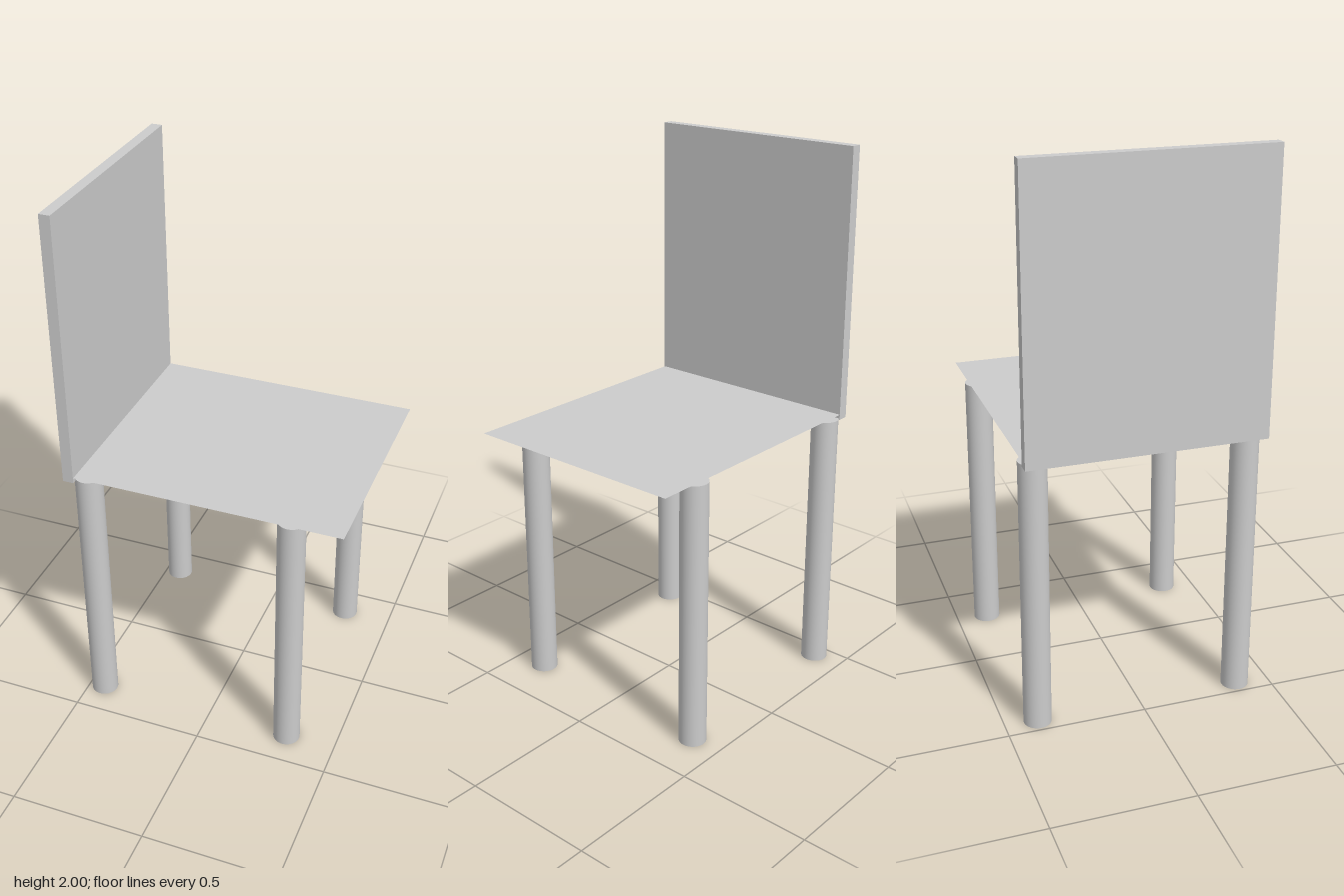
import * as THREE from 'three';

export function createModel() {
  const chair = new THREE.Group();
  chair.name = 'chair';
  const grey = new THREE.MeshStandardMaterial({ color: 0xcccccc });
  const thin = new THREE.MeshStandardMaterial({ color: 0xcccccc, side: THREE.DoubleSide });

  const add = (name, geometry, material, x, y, z) => {
    const mesh = new THREE.Mesh(geometry, material);
    mesh.name = name;
    mesh.position.set(x, y, z);
    chair.add(mesh);
  };

  // Paper-thin seat sheet, just above the leg tops
  const seat = new THREE.PlaneGeometry(1.02, 0.853).rotateX(-Math.PI / 2);
  add('seat', seat, thin, 0, 1.02, 0.002);

  // Upright slab along the -x edge of the seat
  add('backrest', new THREE.BoxGeometry(0.04, 1, 0.855), grey, -0.492, 1.5, 0.003);

  // Four round legs, set off-centre under the seat
  const leg = new THREE.CylinderGeometry(0.05, 0.05, 1.005, 32);
  for (const [xName, x] of [['back', -0.44], ['front', 0.313]]) {
    for (const [zName, z] of [['Right', 0.374], ['Left', -0.381]]) {
      add(`${xName}${zName}Leg`, leg, grey, x, 0.5025, z);
    }
  }
  return chair;
}
